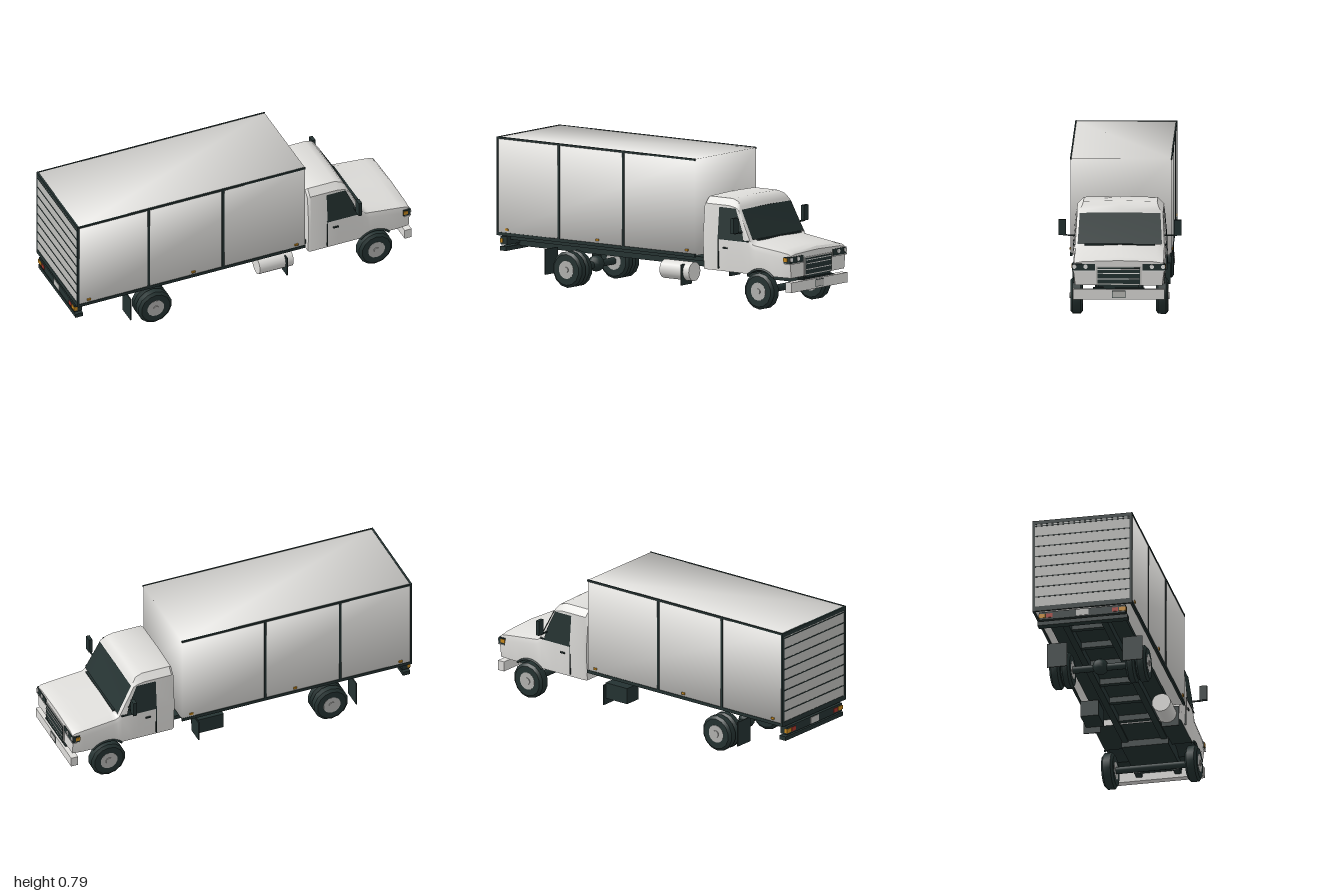
import * as THREE from 'three';
import { mergeVertices, toCreasedNormals } from 'three/addons/utils/BufferGeometryUtils.js';

const mat = (name, color) => {
  const m = new THREE.MeshStandardMaterial({ color, side: THREE.DoubleSide });
  m.name = name;
  return m;
};

export function createModel() {
  const truck = new THREE.Group();
  truck.name = 'boxTruck';
  const white = mat('white paint', 0xdedddA);
  const dark = mat('dark trim', 0x243231);
  const steel = mat('wheel grey', 0xb2b2b0);
  const doorGrey = mat('door grey', 0xbdbdba);
  const amber = mat('amber lamp', 0xc98a1e);
  const lamp = mat('clear lamp', 0xeeeeec);
  const red = mat('red lamp', 0xa8342a);

  const add = (name, geo, material, parent = truck) => {
    const m = new THREE.Mesh(geo, material);
    m.name = name;
    parent.add(m);
    return m;
  };
  // Box given by its limits on each axis
  const box = (name, material, x0, x1, y0, y1, z0, z1) => {
    const m = add(name, new THREE.BoxGeometry(x1 - x0, y1 - y0, z1 - z0), material);
    m.position.set((x0 + x1) / 2, (y0 + y1) / 2, (z0 + z1) / 2);
    return m;
  };
  // The same box on both sides of the truck
  const pair = (name, material, x0, x1, y0, y1, z0, z1) => {
    box(name + 'Left', material, x0, x1, y0, y1, -z1, -z0);
    box(name + 'Right', material, x0, x1, y0, y1, z0, z1);
  };
  const face = (name, material, corners) => {
    const g = new THREE.BufferGeometry();
    g.setAttribute('position', new THREE.Float32BufferAttribute(corners.flat(), 3));
    const idx = [];
    for (let i = 1; i < corners.length - 1; i++) idx.push(0, i, i + 1);
    g.setIndex(idx);
    g.computeVertexNormals();
    return add(name, g, material);
  };
  // Skin running along x through matching sections of [x, y, z] points
  const loft = (sections, capped) => {
    const n = sections[0].length, pos = sections.flat(2), idx = [];
    for (let i = 0; i < sections.length - 1; i++)
      for (let j = 0; j < n - 1; j++) {
        const a = i * n + j, b = a + n;
        idx.push(a, b, a + 1, b, b + 1, a + 1);
      }
    if (capped) {
      const last = (sections.length - 1) * n;
      for (let j = 1; j < n - 1; j++) idx.push(0, j, j + 1, last, last + j + 1, last + j);
    }
    const g = new THREE.BufferGeometry();
    g.setAttribute('position', new THREE.Float32BufferAttribute(pos, 3));
    g.setIndex(idx);
    return toCreasedNormals(g, 0.6);
  };

  // Cargo box with soft shading across its shared corners
  let cargo = new THREE.BoxGeometry(1.345, 0.53, 0.548);
  cargo.deleteAttribute('normal');
  cargo.deleteAttribute('uv');
  cargo = mergeVertices(cargo);
  cargo.computeVertexNormals();
  add('cargoBox', cargo, white).position.set(-0.3195, 0.523, 0);
  pair('topRail', dark, -0.998, 0.355, 0.78, 0.791, 0.27, 0.277);
  pair('bottomRail', dark, -0.998, 0.355, 0.25, 0.268, 0.265, 0.277);
  pair('rearPost', dark, -0.998, -0.988, 0.25, 0.79, 0.262, 0.277);
  for (const x of [-0.575, -0.135]) pair('sidePost', dark, x - 0.007, x + 0.007, 0.26, 0.785, 0.27, 0.277);
  for (const x of [-0.93, -0.31, 0.3]) pair('sideMarker', amber, x - 0.01, x + 0.01, 0.28, 0.291, 0.27, 0.28);

  // Roll-up rear door
  box('rearDoor', doorGrey, -0.997, -0.99, 0.275, 0.77, -0.262, 0.262);
  for (let i = 0; i <= 8; i++) {
    const y = 0.275 + i * 0.0605;
    box('doorSeam', dark, -0.999, -0.994, y - 0.003, y + 0.003, -0.262, 0.262);
  }
  box('rearHeader', dark, -0.999, -0.988, 0.768, 0.79, -0.27, 0.27);
  box('rearSill', dark, -0.999, -0.988, 0.25, 0.275, -0.27, 0.27);

  // Chassis
  box('floorFrame', dark, -0.97, 0.39, 0.222, 0.245, -0.21, 0.21);
  pair('frameRail', dark, -0.98, 0.7, 0.178, 0.235, 0.09, 0.125);
  for (let x = -0.85; x < 0.4; x += 0.24) box('crossMember', dark, x, x + 0.03, 0.19, 0.23, -0.12, 0.12);
  box('rearBeam', dark, -1, -0.955, 0.195, 0.24, -0.24, 0.24);
  box('rearBumper', dark, -0.998, -0.955, 0.163, 0.186, -0.25, 0.25);
  pair('bumperBracket', dark, -0.985, -0.965, 0.18, 0.2, 0.1, 0.13);
  pair('rearAmberLamp', amber, -1.003, -0.985, 0.205, 0.228, 0.205, 0.243);
  pair('rearRedLamp', red, -1.003, -0.99, 0.205, 0.228, 0.165, 0.2);
  box('rearPlate', doorGrey, -1.003, -0.998, 0.2, 0.236, -0.035, 0.035);
  pair('rearMudFlap', dark, -0.679, -0.673, 0.06, 0.2, 0.155, 0.265);
  pair('stepFlap', dark, 0.248, 0.254, 0.085, 0.2, 0.17, 0.265);

  // Fuel tank on one side, battery box on the other
  const tank = add('fuelTank', new THREE.CylinderGeometry(0.052, 0.052, 0.2, 20), white);
  tank.rotation.z = Math.PI / 2;
  tank.position.set(0.195, 0.158, 0.2);
  box('batteryBox', dark, 0.1, 0.25, 0.12, 0.21, -0.25, -0.15);

  // Wheels
  const wheel = (name, x, z, side, w) => {
    const g = new THREE.Group();
    g.name = name;
    const h = w / 2;
    const prof = [[0.045, -h], [0.085, -h], [0.1, -h + 0.012], [0.1, h - 0.012], [0.085, h], [0.045, h]];
    const tire = new THREE.LatheGeometry(prof.map(p => new THREE.Vector2(...p)), 14);
    add('tire', toCreasedNormals(tire, 0.5), dark, g);
    add('rim', new THREE.CylinderGeometry(0.05, 0.05, w + 0.002, 14), steel, g);
    add('hub', new THREE.CylinderGeometry(0.016, 0.02, w + 0.012, 10), steel, g);
    g.rotation.x = Math.PI / 2;
    g.position.set(x, 0.1, z * side);
    truck.add(g);
  };
  for (const s of [-1, 1]) {
    wheel('frontWheel', 0.78, 0.232, s, 0.066);
    wheel('rearOuterWheel', -0.53, 0.239, s, 0.058);
    wheel('rearInnerWheel', -0.53, 0.18, s, 0.052);
  }
  for (const x of [-0.53, 0.78]) {
    const axle = add('axle', new THREE.CylinderGeometry(0.02, 0.02, 0.4, 10), dark);
    axle.rotation.x = Math.PI / 2;
    axle.position.set(x, 0.1, 0);
  }
  add('differential', new THREE.SphereGeometry(0.045, 12, 8), dark).position.set(-0.53, 0.105, 0);

  // Cab and hood: x, then half width and height at sill, belt, shoulder, top edge, and crown height
  const rows = [
    [0.387, 0.235, 0.245, 0.36, 0.228, 0.54, 0.195, 0.575, 0.58],
    [0.4, 0.243, 0.252, 0.36, 0.235, 0.548, 0.2, 0.583, 0.588],
    [0.56, 0.243, 0.252, 0.36, 0.235, 0.548, 0.2, 0.583, 0.588],
    [0.6, 0.243, 0.252, 0.36, 0.234, 0.54, 0.205, 0.57, 0.575],
    [0.622, 0.243, 0.252, 0.36, 0.233, 0.528, 0.218, 0.543, 0.547],
    [0.71, 0.243, 0.25, 0.335, 0.242, 0.358, 0.229, 0.368, 0.372],
    [0.73, 0.243, 0.248, 0.32, 0.24, 0.345, 0.205, 0.362, 0.37],
    [0.92, 0.243, 0.25, 0.29, 0.243, 0.325, 0.195, 0.338, 0.347],
    [0.97, 0.238, 0.25, 0.28, 0.243, 0.318, 0.195, 0.328, 0.337],
    [0.984, 0.236, 0.247, 0.275, 0.24, 0.308, 0.195, 0.316, 0.322],
  ];
  const sillY = x => {
    const d = 0.0144 - (x - 0.78) ** 2;
    return Math.max(0.187, d > 0 ? 0.1 + Math.sqrt(d) : 0);
  };
  const rowAt = x => {
    let i = 0;
    while (i < rows.length - 2 && x > rows[i + 1][0]) i++;
    const t = (x - rows[i][0]) / (rows[i + 1][0] - rows[i][0]);
    return rows[i].map((v, k) => v + (rows[i + 1][k] - v) * t);
  };
  const xs = [...rows.map(r => r[0]), 0.697, 0.72, 0.75, 0.78, 0.81, 0.84, 0.863].sort((a, b) => a - b);
  const sections = xs.map(x => {
    const [, w0, w1, y1, w2, y2, w3, y3, yc] = rowAt(x);
    const half = [[w0, sillY(x)], [w1, y1], [w2, y2], [w3, y3]];
    return [...half.map(([z, y]) => [x, y, z]), [x, yc, 0], ...half.reverse().map(([z, y]) => [x, y, -z])];
  });
  add('cabAndHood', loft(sections, true), white);
  add('cabUnderside', loft(sections.map(s => [s[s.length - 1], s[0]]), false), dark);
  box('engineBlock', dark, 0.6, 0.95, 0.15, 0.26, -0.13, 0.13);

  // Black lips around the front wheel arches
  for (const s of [-1, 1]) {
    const lip = add('wheelArchLip', new THREE.TorusGeometry(0.118, 0.007, 6, 16, 1.6), dark);
    lip.rotation.z = Math.PI / 2 - 0.8;
    lip.position.set(0.78, 0.1, s * 0.242);
  }

  // Windscreen, side windows and door details
  face('windscreen', dark, [[0.632, 0.53, 0.219], [0.715, 0.372, 0.229], [0.717, 0.375, 0],
    [0.715, 0.372, -0.229], [0.632, 0.53, -0.219], [0.635, 0.534, 0]]);
  const sideZ = y => 0.256 - (y - 0.36) * 0.092;
  for (const s of [-1, 1]) {
    const pts = [[0.495, 0.366], [0.672, 0.366], [0.655, 0.43], [0.607, 0.536], [0.495, 0.536]];
    face('sideWindow', dark, pts.map(([x, y]) => [x, y, s * sideZ(y)]));
    const arm = box('mirrorArm', dark, 0.65, 0.658, 0.408, 0.415, 0.235, 0.31);
    arm.position.z *= s;
  }
  pair('mirror', dark, 0.645, 0.665, 0.413, 0.497, 0.292, 0.334);
  pair('doorSeam', dark, 0.494, 0.498, 0.2, 0.366, 0.243, 0.2535);
  pair('beltLine', dark, 0.495, 0.7, 0.361, 0.367, 0.243, 0.254);
  pair('doorHandle', dark, 0.53, 0.56, 0.312, 0.32, 0.245, 0.257);
  box('wiperCowl', dark, 0.712, 0.727, 0.366, 0.374, -0.19, 0.19);

  // Grille
  box('grilleSurround', doorGrey, 0.98, 0.989, 0.19, 0.29, -0.123, 0.123);
  box('grille', dark, 0.985, 0.991, 0.196, 0.284, -0.116, 0.116);
  for (const y of [0.222, 0.253, 0.274]) box('grilleBar', lamp, 0.987, 0.994, y - 0.002, y + 0.002, -0.114, 0.114);
  box('lowerIntake', dark, 0.98, 0.988, 0.176, 0.19, -0.11, 0.11);
  box('bumperGap', dark, 0.965, 0.985, 0.166, 0.173, -0.14, 0.14);

  // Headlights and turn signals
  pair('headlightPanel', dark, 0.945, 0.988, 0.268, 0.304, 0.13, 0.253);
  pair('headlightTrim', lamp, 0.95, 0.99, 0.263, 0.268, 0.13, 0.254);
  pair('turnSignal', amber, 0.945, 0.97, 0.278, 0.298, 0.245, 0.257);
  for (const z of [-0.241, -0.18, 0.18, 0.241]) {
    const l = add('headlight', new THREE.CylinderGeometry(0.012, 0.012, 0.008, 10), lamp);
    l.rotation.z = Math.PI / 2;
    l.position.set(0.988, 0.289, z);
  }

  // Front bumper and blank plate
  box('frontBumper', white, 0.955, 0.996, 0.11, 0.165, -0.248, 0.248);
  pair('bumperMount', dark, 0.9, 0.96, 0.13, 0.2, 0.09, 0.125);
  box('plateFrame', dark, 0.994, 0.998, 0.119, 0.159, -0.037, 0.037);
  box('plate', doorGrey, 0.995, 1, 0.122, 0.156, -0.034, 0.034);
  return truck;
}
